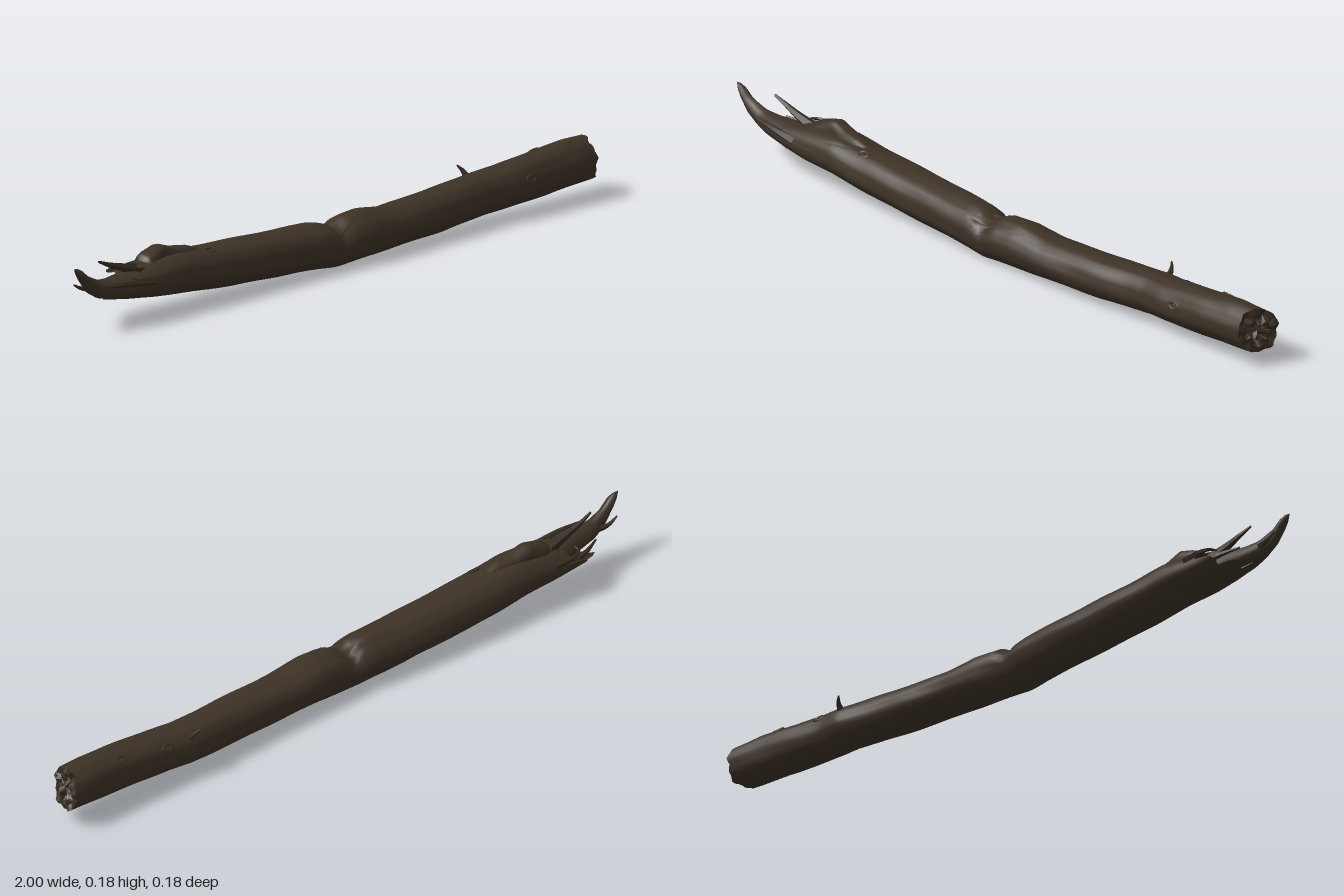
import * as THREE from 'three';

const bark = new THREE.MeshStandardMaterial({ color: 0x3d3226 });
bark.name = 'bark';
const brokenWood = new THREE.MeshStandardMaterial({ color: 0x362c21, side: THREE.DoubleSide, flatShading: true });
brokenWood.name = 'brokenWood';

// Cross-sections: x, bottom, top, back (min z), front (max z)
const trunk = [
  [-0.95, 0.095, 0.14, -0.07, 0.02], [-0.85, 0.075, 0.14, -0.09, 0.04], [-0.78, 0.063, 0.145, -0.09, 0.05],
  [-0.7, 0.053, 0.152, -0.088, 0.057], [-0.6, 0.044, 0.16, -0.085, 0.061], [-0.5, 0.034, 0.15, -0.083, 0.064],
  [-0.4, 0.025, 0.145, -0.08, 0.065], [-0.2, 0.013, 0.136, -0.07, 0.069], [-0.08, 0.008, 0.133, -0.06, 0.075],
  [-0.045, 0.005, 0.126, -0.056, 0.077], [-0.018, 0.005, 0.106, -0.052, 0.079], [0.03, 0.006, 0.133, -0.052, 0.081],
  [0.1, 0.01, 0.138, -0.053, 0.083], [0.2, 0.014, 0.125, -0.053, 0.082], [0.4, 0.016, 0.131, -0.055, 0.075],
  [0.52, 0.021, 0.136, -0.059, 0.065], [0.58, 0.025, 0.139, -0.062, 0.063], [0.65, 0.028, 0.144, -0.052, 0.071],
  [0.8, 0.035, 0.158, -0.046, 0.075], [0.9, 0.041, 0.166, -0.042, 0.075], [1, 0.047, 0.164, -0.039, 0.074],
];
const tongue = [
  [-1, 0.182, 0.192, -0.003, 0.006], [-0.975, 0.15, 0.182, -0.012, 0.016], [-0.945, 0.112, 0.158, -0.014, 0.018],
  [-0.9, 0.088, 0.138, -0.026, 0.024], [-0.85, 0.077, 0.137, -0.035, 0.038], [-0.77, 0.066, 0.135, -0.05, 0.044],
  [-0.68, 0.07, 0.13, -0.05, 0.04],
];
const ridge = [
  [-0.72, 0.12, 0.158, -0.05, 0.01], [-0.69, 0.12, 0.172, -0.055, 0.01], [-0.645, 0.12, 0.186, -0.05, 0.005],
  [-0.6, 0.12, 0.171, -0.045, 0.012], [-0.55, 0.11, 0.165, -0.035, 0.015], [-0.48, 0.1, 0.14, -0.03, 0.01],
];

// Point on a sectioned tube at length x and angle a, with grooved grain
function surface(table, x, a, grain = 1) {
  let i = 0;
  while (i < table.length - 2 && table[i + 1][0] < x) i++;
  const t = (x - table[i][0]) / (table[i + 1][0] - table[i][0]);
  const [, lo, hi, back, front] = table[i].map((v, k) => v + (table[i + 1][k] - v) * t);
  const r = 1 + grain * (0.018 * Math.sin(5 * a + 3 * Math.sin(3 * x)) + 0.012 * Math.sin(11 * a + 6 * x)
    + 0.01 * Math.sin(31 * x + 3 * a) - 0.01);
  return new THREE.Vector3(x, (lo + hi) / 2 + r * Math.sin(a) * (hi - lo) / 2,
    (back + front) / 2 + r * Math.cos(a) * (front - back) / 2);
}

// Grid of points point(u index, angle), closed around the angle
function skin(name, rows, sides, point, material) {
  const pos = [], index = [];
  for (let i = 0; i <= rows; i++)
    for (let j = 0; j < sides; j++) pos.push(...point(i / rows, j / sides * Math.PI * 2).toArray());
  for (let i = 0; i < rows; i++)
    for (let j = 0; j < sides; j++) {
      const a = i * sides + j, b = i * sides + (j + 1) % sides;
      index.push(a, a + sides, b + sides, a, b + sides, b);
    }
  const geo = new THREE.BufferGeometry();
  geo.setAttribute('position', new THREE.Float32BufferAttribute(pos, 3));
  geo.setIndex(index);
  geo.computeVertexNormals();
  const mesh = new THREE.Mesh(geo, material);
  mesh.name = name;
  return mesh;
}

// Ragged ends of the trunk by angle
const leftEnd = a => -0.8 + 0.06 * Math.sin(a) - 0.025 * Math.cos(a)
  + 0.016 * Math.sin(7 * a) + 0.014 * Math.sin(13 * a + 1);
const rightEnd = a => 0.974 - 0.016 * Math.cos(a) - 0.008 * Math.sin(a)
  + 0.004 * Math.sin(5 * a) + 0.003 * Math.sin(11 * a);

// Tapering splinter along a few points
function splinter(name, points, radius) {
  const path = new THREE.CatmullRomCurve3(points.map(p => new THREE.Vector3(...p)));
  const geo = new THREE.TubeGeometry(path, 8, radius, 5);
  const p = geo.attributes.position, v = new THREE.Vector3();
  for (let i = 0; i < p.count; i++) {
    const t = Math.floor(i / 6) / 8, c = path.getPointAt(t);
    v.fromBufferAttribute(p, i).sub(c).multiplyScalar(1 - 0.8 * t).add(c);
    p.setXYZ(i, v.x, v.y, v.z);
  }
  const mesh = new THREE.Mesh(geo, brokenWood);
  mesh.name = name;
  return mesh;
}

export function createModel() {
  const log = new THREE.Group();
  log.name = 'brokenBranch';

  log.add(skin('trunk', 130, 40, (u, a) => {
    const l = leftEnd(a);
    return surface(trunk, l + (rightEnd(a) - l) * u, a);
  }, bark));

  // Torn faces: hollow at the left, rough and nearly flat at the right
  log.add(skin('leftBreak', 4, 40, (u, a) => {
    const rim = surface(trunk, leftEnd(a), a);
    const rough = 0.012 * Math.sin(5 * a + 9 * u) * u * (1 - u) * 4;
    return rim.lerp(new THREE.Vector3(-0.75, 0.1, -0.02), 1 - u).add(new THREE.Vector3(rough, 0, 0));
  }, brokenWood));
  log.add(skin('rightBreak', 4, 40, (u, a) => {
    const rim = surface(trunk, rightEnd(a), a);
    const rough = 0.008 * Math.sin(4 * a + 8 * u) * u * (1 - u) * 4;
    return rim.lerp(new THREE.Vector3(0.972, 0.105, 0.018), u).add(new THREE.Vector3(rough, 0, 0));
  }, brokenWood));

  // Long torn point and the raised bark above it
  const piece = (name, table, grain) => skin(name, 24, 14, (u, a) => {
    const x0 = table[0][0], x1 = table[table.length - 1][0];
    const p = surface(table, x0 + (x1 - x0) * u, a, grain);
    if (u === 0 || u === 1) p.lerp(surface(table, p.x, a + Math.PI, grain), 0.5);
    return p;
  }, bark);
  log.add(piece('tornPoint', tongue, 2.5), piece('raisedBark', ridge, 3));

  // Splinters around the torn end
  log.add(
    splinter('upperSplinter', [[-0.74, 0.135, -0.02], [-0.8, 0.152, -0.02], [-0.84, 0.165, -0.022], [-0.88, 0.181, -0.02]], 0.016),
    splinter('backSplinter', [[-0.7, 0.12, -0.078], [-0.76, 0.125, -0.085], [-0.785, 0.128, -0.075], [-0.79, 0.13, -0.055]], 0.012),
    splinter('frontSplinter', [[-0.74, 0.11, 0.042], [-0.82, 0.12, 0.04], [-0.9, 0.125, 0.03]], 0.014),
    splinter('sideSplinter', [[-0.74, 0.1, -0.07], [-0.81, 0.105, -0.068], [-0.87, 0.115, -0.05]], 0.013),
    splinter('pointSplinter', [[-0.9, 0.115, -0.012], [-0.94, 0.12, -0.024], [-0.97, 0.135, -0.026]], 0.011),
    splinter('twigStub', [[0.58, 0.115, -0.04], [0.575, 0.135, -0.055], [0.565, 0.148, -0.064]], 0.011),
  );

  // Knots lying on the bark
  for (const [x, a] of [[0.71, 0.3], [0.66, 2.5], [0.82, 2.3], [-0.5, 1.1]]) {
    const knot = new THREE.Mesh(new THREE.TorusGeometry(0.011, 0.004, 6, 14), bark);
    knot.name = 'knot';
    knot.position.copy(surface(trunk, x, a));
    knot.lookAt(knot.position.clone().add(new THREE.Vector3(0, Math.sin(a), Math.cos(a))));
    knot.scale.set(1.4, 0.8, 0.7);
    log.add(knot);
  }
  return log;
}
